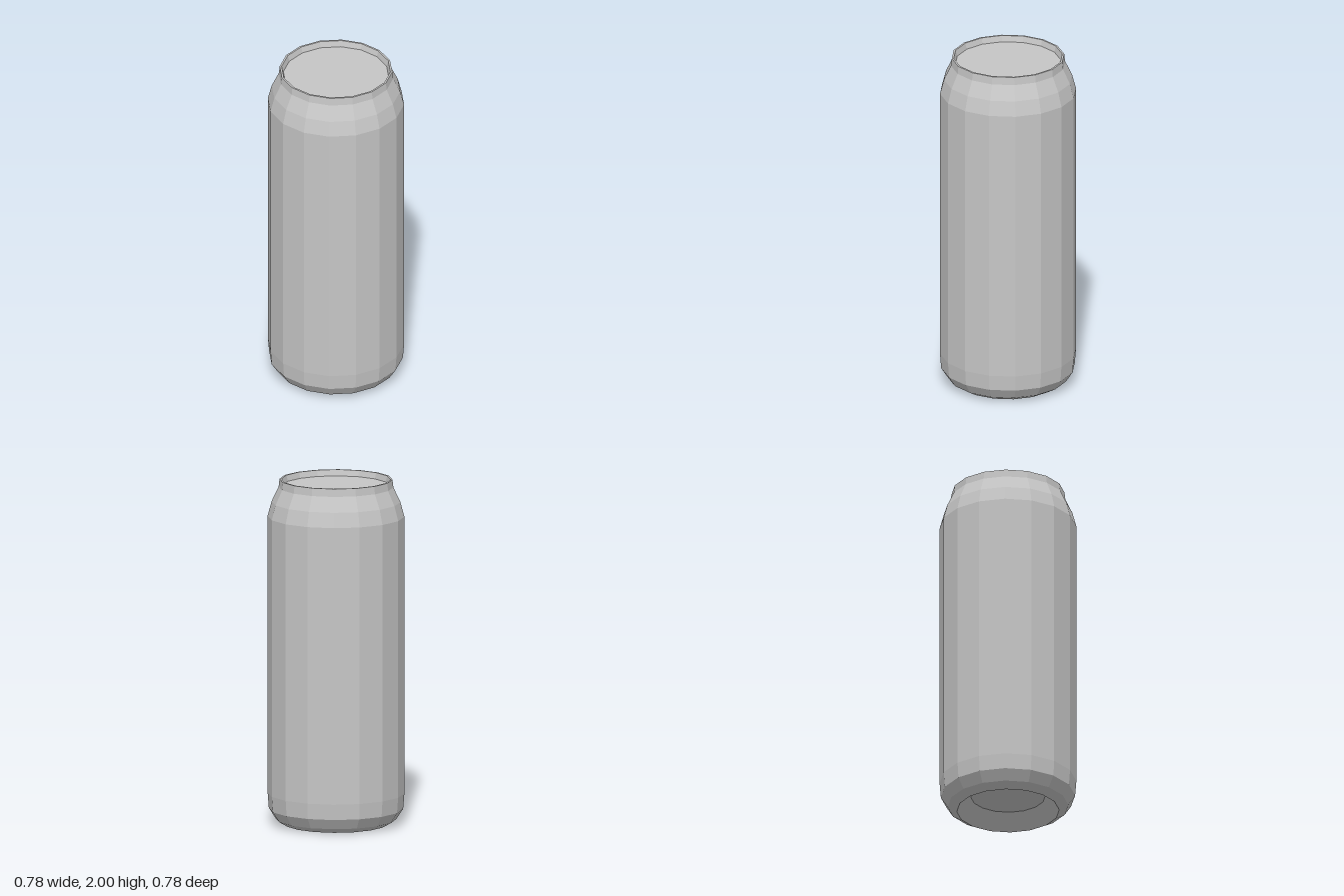
import * as THREE from 'three';

const SIDES = 16;

export function createModel() {
  const can = new THREE.Group();
  can.name = 'can';
  const metal = new THREE.MeshStandardMaterial({ color: 0xc6c6c6, flatShading: true });
  metal.name = 'grey metal';

  // Each part is a revolved profile of [radius, height] points, ordered so faces point outward
  const addPart = (name, profile) => {
    const points = profile.map(([r, y]) => new THREE.Vector2(r, y));
    const mesh = new THREE.Mesh(new THREE.LatheGeometry(points, SIDES), metal);
    mesh.name = name;
    can.add(mesh);
  };

  // Recessed dome and sloping ring underneath
  addPart('baseDome', [[0, 0.12], [0.213, 0.09], [0.293, 0]]);
  // Rounded bottom edge
  addPart('baseEdge', [[0.293, 0], [0.345, 0.03], [0.384, 0.09], [0.391, 0.18]]);
  // Straight wall
  addPart('body', [[0.391, 0.18], [0.391, 1.785]]);
  // Shoulder tapering to the neck
  addPart('shoulder', [[0.391, 1.785], [0.368, 1.87], [0.328, 1.955]]);
  // Raised rim with its inner wall
  addPart('rim', [[0.328, 1.955], [0.323, 2], [0.312, 2], [0.302, 1.965]]);
  // Sunken flat lid
  addPart('lid', [[0.302, 1.965], [0, 1.965]]);

  return can;
}
